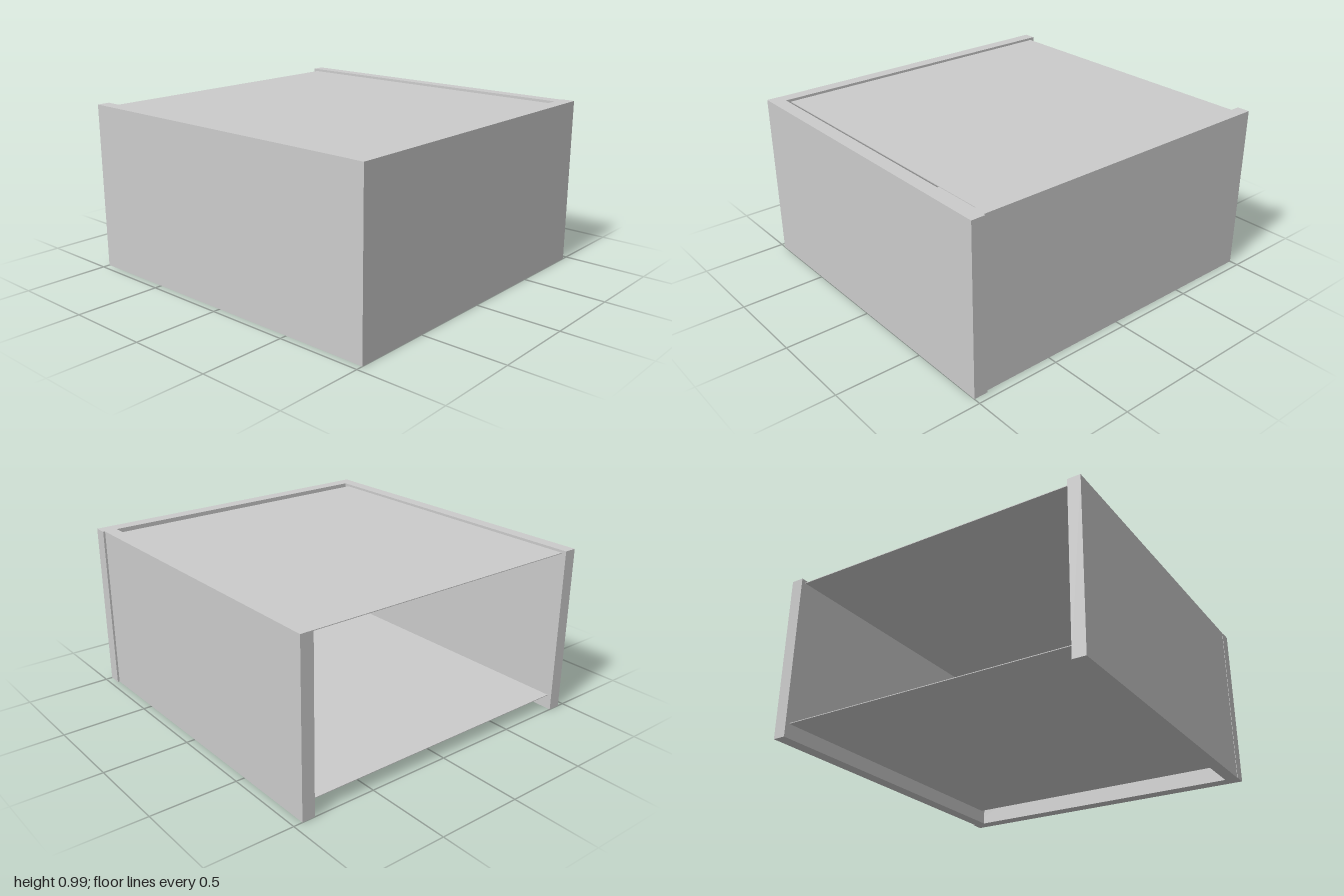
import * as THREE from 'three';

export function createModel() {
  const group = new THREE.Group();
  const material = new THREE.MeshStandardMaterial({ color: 0xcccccc, flatShading: true });
  const height = 0.985;

  // box given by its extents along each axis
  function board(name, [x0, x1], [y0, y1], [z0, z1]) {
    const mesh = new THREE.Mesh(new THREE.BoxGeometry(x1 - x0, y1 - y0, z1 - z0), material);
    mesh.position.set((x0 + x1) / 2, (y0 + y1) / 2, (z0 + z1) / 2);
    mesh.name = name;
    group.add(mesh);
  }

  // front board, slightly wider than the side walls
  board('frontBoard', [-0.96, 0.96], [0, height], [0.92, 1]);

  // side walls
  board('rightWall', [-0.958, -0.883], [0, height], [-1, 0.92]);
  board('leftWall', [0.873, 0.948], [0, height], [-1, 0.92]);

  // thin panels held between the walls, with a gap behind the front board
  for (const [name, y] of [['topPanel', 0.968], ['bottomPanel', 0.085]]) {
    board(name, [-0.883, 0.873], [y - 0.002, y + 0.002], [-0.973, 0.889]);
  }

  return group;
}
